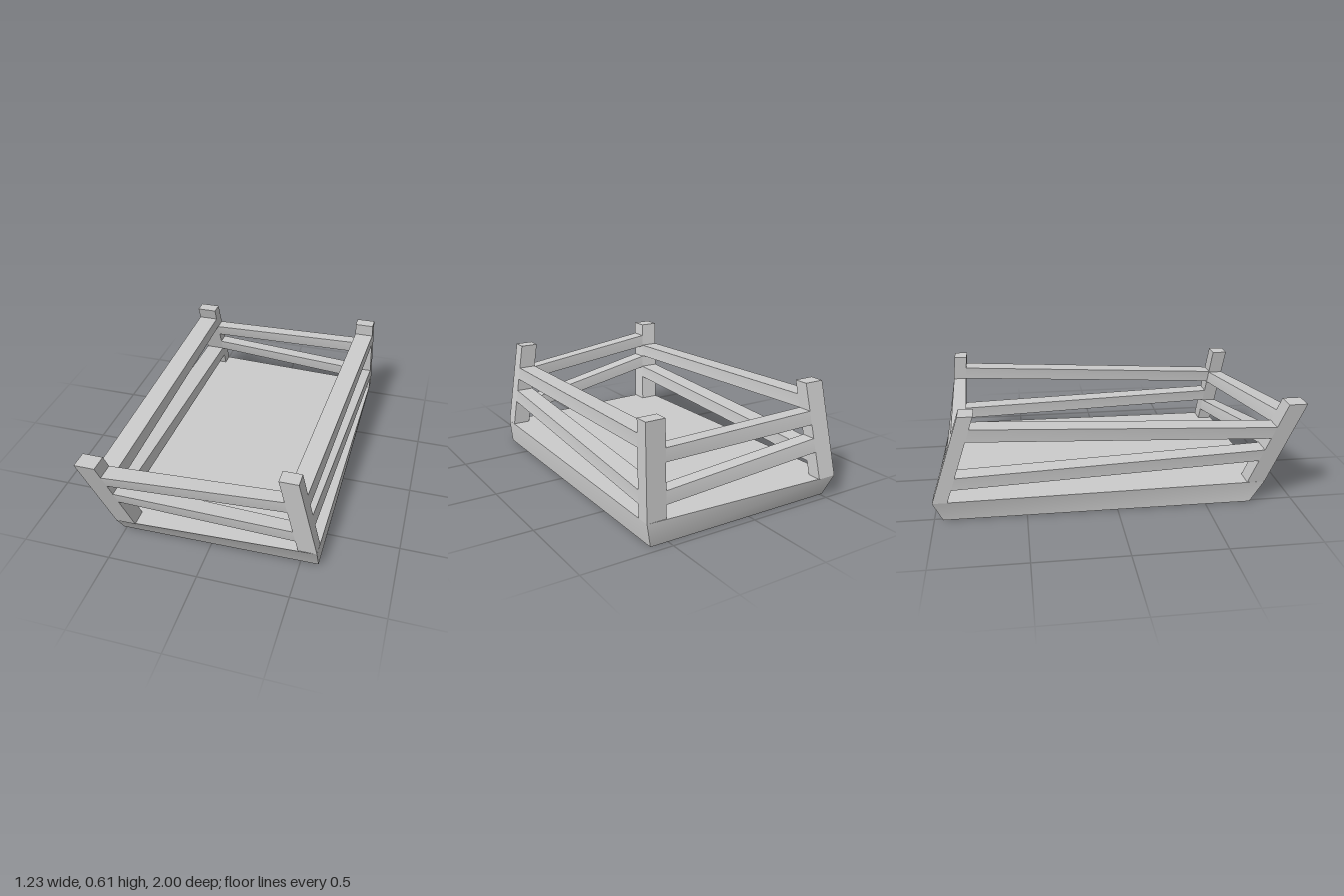
import * as THREE from 'three';

const FLOOR = 0.12, TOP = 0.612;

// Each post: [outer x, inner x, outer z, inner z] at floor level and at the top, plus its foot point on the ground
const posts = {
  frontRight: { low: [-0.515, -0.405, 0.835, 0.735], high: [-0.615, -0.505, 1.0, 0.9], foot: [-0.515, 0.755] },
  frontLeft: { low: [0.592, 0.49, 0.785, 0.705], high: [0.49, 0.388, 0.84, 0.755], foot: [0.597, 0.737] },
  backLeft: { low: [0.615, 0.505, -0.947, -0.87], high: [0.597, 0.487, -0.905, -0.83], foot: [0.6, -0.953] },
  backRight: { low: [-0.55, -0.44, -1.0, -0.92], high: [-0.573, -0.457, -0.835, -0.755], foot: [-0.515, -0.953] },
};

// Section of a leaning post at height y
function section(post, y) {
  const t = (y - FLOOR) / (TOP - FLOOR);
  const [xo, xi, zo, zi] = post.low.map((v, i) => v + (post.high[i] - v) * t);
  return { xo, xi, zo, zi };
}

// Solid between two matching four-cornered rings
function block(name, a, b, material) {
  const v = (p, q) => new THREE.Vector3(...p).sub(new THREE.Vector3(...q));
  const flip = v(a[1], a[0]).cross(v(a[3], a[0])).dot(v(b[0], a[0])) < 0;
  const quads = [[a[3], a[2], a[1], a[0]], [b[0], b[1], b[2], b[3]]];
  for (let i = 0; i < 4; i++) {
    const j = (i + 1) % 4;
    quads.push([a[i], a[j], b[j], b[i]]);
  }
  const positions = [], index = [];
  quads.forEach((quad, k) => {
    if (flip) quad.reverse();
    quad.forEach((p) => positions.push(...p));
    index.push(...[0, 1, 2, 0, 2, 3].map((n) => n + 4 * k));
  });
  const geometry = new THREE.BufferGeometry();
  geometry.setAttribute('position', new THREE.Float32BufferAttribute(positions, 3));
  geometry.setIndex(index);
  geometry.computeVertexNormals();
  const mesh = new THREE.Mesh(geometry, material);
  mesh.name = name;
  return mesh;
}

// Full ring of a post at height y
function postRing(post, y) {
  const { xo, xi, zo, zi } = section(post, y);
  return [[xo, y, zo], [xi, y, zo], [xi, y, zi], [xo, y, zi]];
}

// Rail end on the post's facing side, following its lean
function railEnd(post, top, alongX) {
  const corner = (y, outer) => {
    const s = section(post, y);
    return alongX ? [s.xi, y, outer ? s.zo : s.zi] : [outer ? s.xo : s.xi, y, s.zi];
  };
  const bottom = top - 0.07;
  return [corner(top, true), corner(top, false), corner(bottom, false), corner(bottom, true)];
}

export function createModel() {
  const group = new THREE.Group();
  const material = new THREE.MeshStandardMaterial({ color: 0xcccccc });
  const all = Object.values(posts);

  // Solid tray floor with flared sides
  group.add(block('base',
    all.map((p) => [p.foot[0], 0, p.foot[1]]),
    all.map((p) => [p.low[0], FLOOR, p.low[2]]), material));

  // Leaning corner posts
  for (const [name, post] of Object.entries(posts)) {
    group.add(block(name + 'Post', postRing(post, FLOOR), postRing(post, TOP), material));
  }

  // Crooked rails: name, posts at both ends, top height at each end, runs along x
  const rails = [
    ['frontUpperRail', 'frontRight', 'frontLeft', 0.54, 0.47, true],
    ['frontLowerRail', 'frontRight', 'frontLeft', 0.4, 0.26, true],
    ['backUpperRail', 'backRight', 'backLeft', 0.47, 0.47, true],
    ['backLowerRail', 'backRight', 'backLeft', 0.33, 0.26, true],
  ];
  for (const side of ['Left', 'Right']) {
    rails.push([`upperRail${side}`, `front${side}`, `back${side}`, 0.475, 0.54, false]);
    rails.push([`lowerRail${side}`, `front${side}`, `back${side}`, 0.333, 0.263, false]);
  }
  for (const [name, a, b, ya, yb, alongX] of rails) {
    group.add(block(name, railEnd(posts[a], ya, alongX), railEnd(posts[b], yb, alongX), material));
  }
  return group;
}
